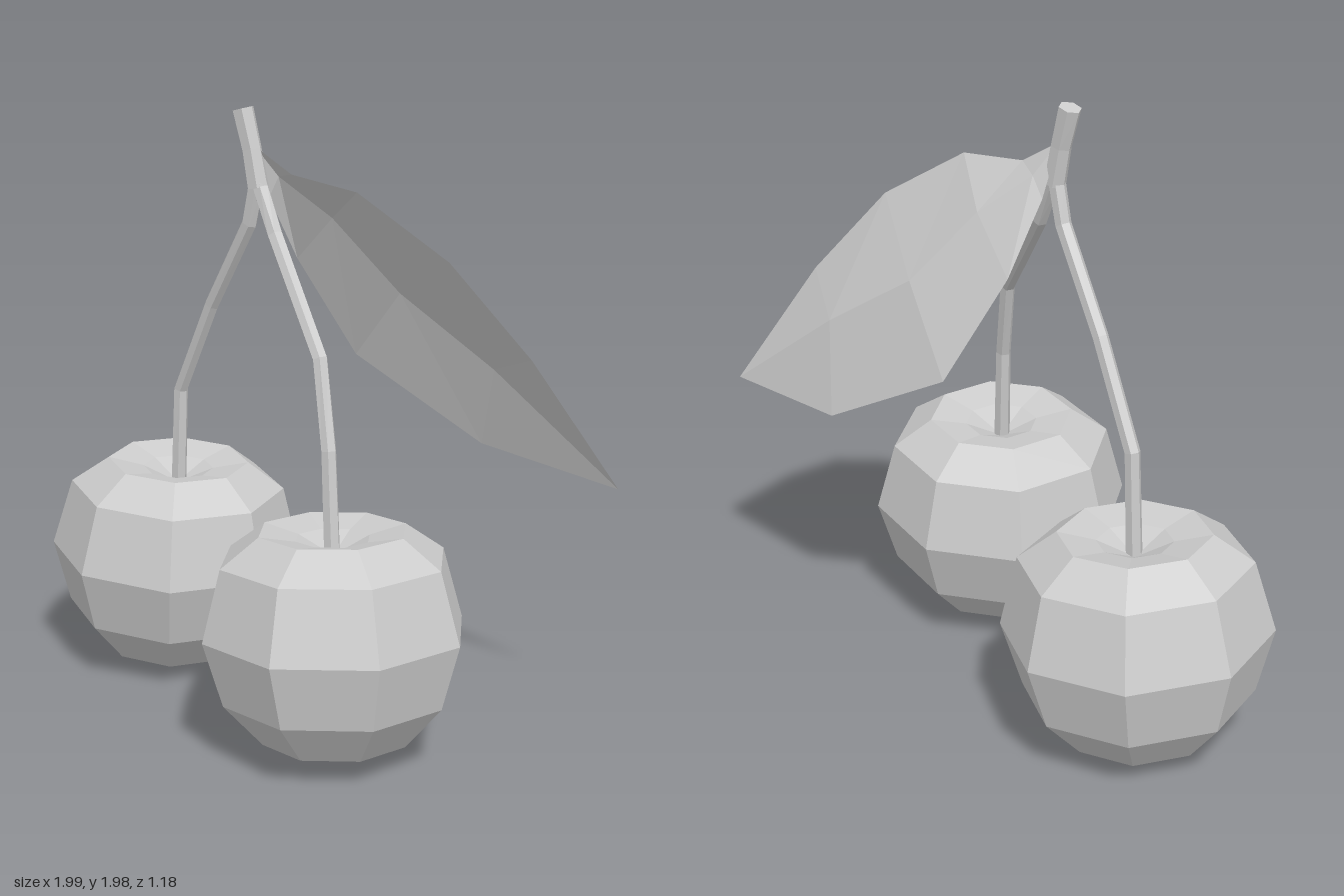
import * as THREE from 'three';

const material = new THREE.MeshStandardMaterial({ color: 0xcccccc, flatShading: true });
const leafMaterial = new THREE.MeshStandardMaterial({
  color: 0xcccccc, flatShading: true, side: THREE.DoubleSide,
});

function mesh(name, geometry, mat = material) {
  const m = new THREE.Mesh(geometry, mat);
  m.name = name;
  return m;
}

function buildGeometry(points, index) {
  const g = new THREE.BufferGeometry().setFromPoints(points);
  g.setIndex(index);
  g.computeVertexNormals();
  return g;
}

// Faceted, capped tube through a list of [x, y, z, radius]
function stalk(path, sides = 6) {
  const centres = path.map(([x, y, z]) => new THREE.Vector3(x, y, z));
  const last = centres.length - 1;
  const points = [], index = [];
  centres.forEach((c, i) => {
    const t = centres[Math.min(i + 1, last)].clone().sub(centres[Math.max(i - 1, 0)]).normalize();
    const u = new THREE.Vector3(1, 0, 0).addScaledVector(t, -t.x).normalize();
    const v = t.clone().cross(u);
    for (let k = 0; k < sides; k++) {
      const a = (k / sides) * Math.PI * 2;
      points.push(c.clone()
        .addScaledVector(u, path[i][3] * Math.cos(a))
        .addScaledVector(v, path[i][3] * Math.sin(a)));
    }
  });
  const start = points.push(centres[0]) - 1;
  const end = points.push(centres[last]) - 1;
  for (let k = 0; k < sides; k++) {
    const n = (k + 1) % sides;
    for (let i = 0; i < last; i++) {
      const a = i * sides + k, b = i * sides + n;
      index.push(a, b, b + sides, a, b + sides, a + sides);
    }
    index.push(start, n, k, end, last * sides + k, last * sides + n);
  }
  return buildGeometry(points, index);
}

// Eight-sided fruit with a dimpled top
function cherry(name, position, tiltX, turn, tiltZ) {
  const profile = [
    [0, -0.41], [0.24, -0.35], [0.365, -0.21], [0.427, 0],
    [0.365, 0.23], [0.24, 0.32], [0.12, 0.295], [0, 0.24],
  ].map(([r, y]) => new THREE.Vector2(r, y));
  const m = mesh(name, new THREE.LatheGeometry(profile, 8));
  m.position.set(...position);
  m.rotation.set(tiltX, turn, tiltZ, 'ZXY');
  return m;
}

// Leaf folded along its midrib: each station is upper edge, midrib, lower edge
function leaf() {
  const stations = [
    [[-0.04, 1.79, -0.11], [-0.12, 1.77, -0.15], [-0.15, 1.7, -0.14]],
    [[0.21, 1.76, -0.11], [0.03, 1.64, -0.235], [-0.14, 1.48, -0.28]],
    [[0.52, 1.57, -0.16], [0.22, 1.4, -0.345], [0, 1.15, -0.42]],
    [[0.76, 1.28, -0.26], [0.55, 1.19, -0.39], [0.46, 0.91, -0.475]],
  ];
  const points = [[-0.17, 1.87, -0.09], ...stations.flat(), [0.99, 0.87, -0.42]]
    .map((p) => new THREE.Vector3(...p));
  const tip = points.length - 1;
  const index = [0, 2, 1, 0, 3, 2];
  for (let s = 0; s < stations.length; s++) {
    for (let side = 0; side < 2; side++) {
      const a = 1 + s * 3 + side, b = a + 1;
      if (s === stations.length - 1) index.push(a, b, tip);
      else index.push(a, b, b + 3, a, b + 3, a + 3);
    }
  }
  return mesh('leaf', buildGeometry(points, index), leafMaterial);
}

export function createModel() {
  const group = new THREE.Group();
  group.name = 'cherries';

  // Fruit
  group.add(
    cherry('rightCherry', [-0.58, 0.42, -0.17], 0, -0.15, -0.05),
    cherry('leftCherry', [0.33, 0.435, 0.165], -0.05, 0.15, 0.06),
  );

  // Stems, joined at the top
  group.add(
    mesh('stemTop', stalk([
      [-0.215, 1.985, -0.09, 0.036], [-0.18, 1.86, -0.09, 0.033], [-0.155, 1.74, -0.09, 0.036],
    ])),
    mesh('rightStem', stalk([
      [-0.17, 1.83, -0.09, 0.026], [-0.165, 1.74, -0.09, 0.027], [-0.195, 1.62, -0.095, 0.026],
      [-0.38, 1.32, -0.13, 0.025], [-0.54, 1.0, -0.16, 0.025], [-0.56, 0.64, -0.165, 0.027],
    ])),
    mesh('leftStem', stalk([
      [-0.17, 1.83, -0.09, 0.026], [-0.145, 1.74, -0.09, 0.027], [-0.07, 1.6, -0.065, 0.026],
      [0.21, 1.27, 0.08, 0.025], [0.28, 1.0, 0.13, 0.025], [0.31, 0.66, 0.15, 0.027],
    ])),
  );

  group.add(leaf());
  return group;
}
